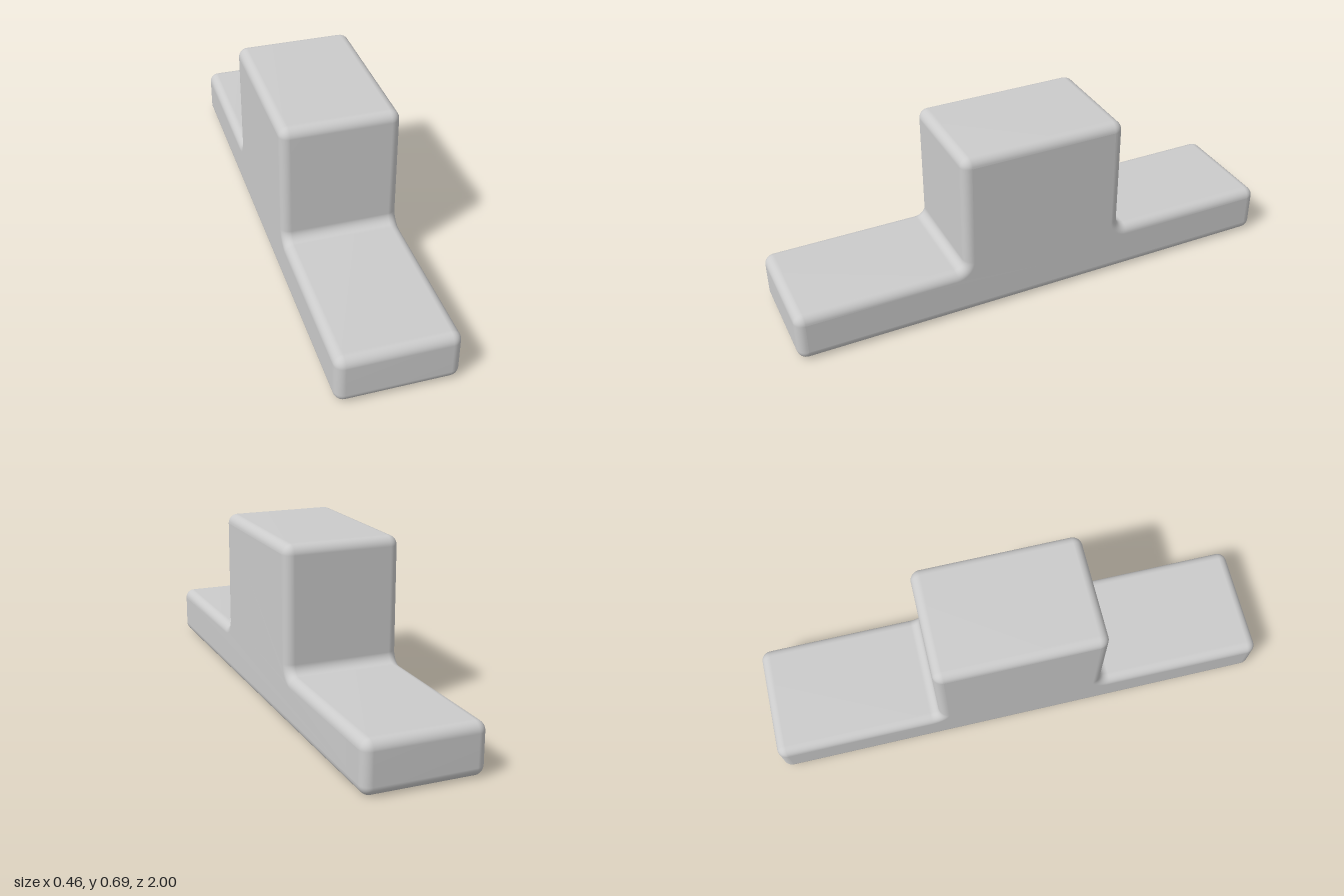
import * as THREE from 'three';
import { mergeVertices } from 'three/addons/utils/BufferGeometryUtils.js';

const WIDTH = 0.458;
const RADIUS = 0.038; // corner and fillet radius of the profile
const BEVEL = 0.037; // rounding towards the two side faces
const STEPS = 8;

// Polygon whose right-angled corners, inner and outer, are rounded by arcs
function roundedShape(corners, radius) {
  const points = [];
  corners.forEach((corner, i) => {
    const p = new THREE.Vector2(...corner);
    const prev = new THREE.Vector2(...corners.at(i - 1)).sub(p).normalize();
    const next = new THREE.Vector2(...corners[(i + 1) % corners.length]).sub(p).normalize();
    const centre = p.clone().addScaledVector(prev, radius).addScaledVector(next, radius);
    for (let k = 0; k <= STEPS; k++) {
      const t = (k / STEPS) * Math.PI / 2;
      points.push(centre.clone()
        .addScaledVector(next, -radius * Math.cos(t))
        .addScaledVector(prev, -radius * Math.sin(t)));
    }
  });
  return new THREE.Shape(points);
}

export function createModel() {
  const group = new THREE.Group();
  group.name = 'steppedBlock';

  // Side profile: a long low base with a tall block in the middle
  const profile = roundedShape([
    [-1, 0], [1, 0], [1, 0.198], [0.333, 0.198],
    [0.333, 0.685], [-0.333, 0.685], [-0.333, 0.198], [-1, 0.198],
  ], RADIUS);

  let geometry = new THREE.ExtrudeGeometry(profile, {
    depth: WIDTH - 2 * BEVEL,
    bevelThickness: BEVEL,
    bevelSize: BEVEL,
    bevelOffset: -BEVEL,
    bevelSegments: STEPS,
  });
  geometry.translate(0, 0, BEVEL - WIDTH / 2);
  geometry.rotateY(Math.PI / 2);

  // Weld the surface so all rounded edges shade smoothly
  geometry.deleteAttribute('uv');
  geometry.deleteAttribute('normal');
  geometry = mergeVertices(geometry, 1e-5);
  geometry.computeVertexNormals();

  const body = new THREE.Mesh(geometry, new THREE.MeshStandardMaterial({ color: 0xcccccc }));
  body.name = 'baseWithRaisedBlock';
  group.add(body);
  return group;
}
